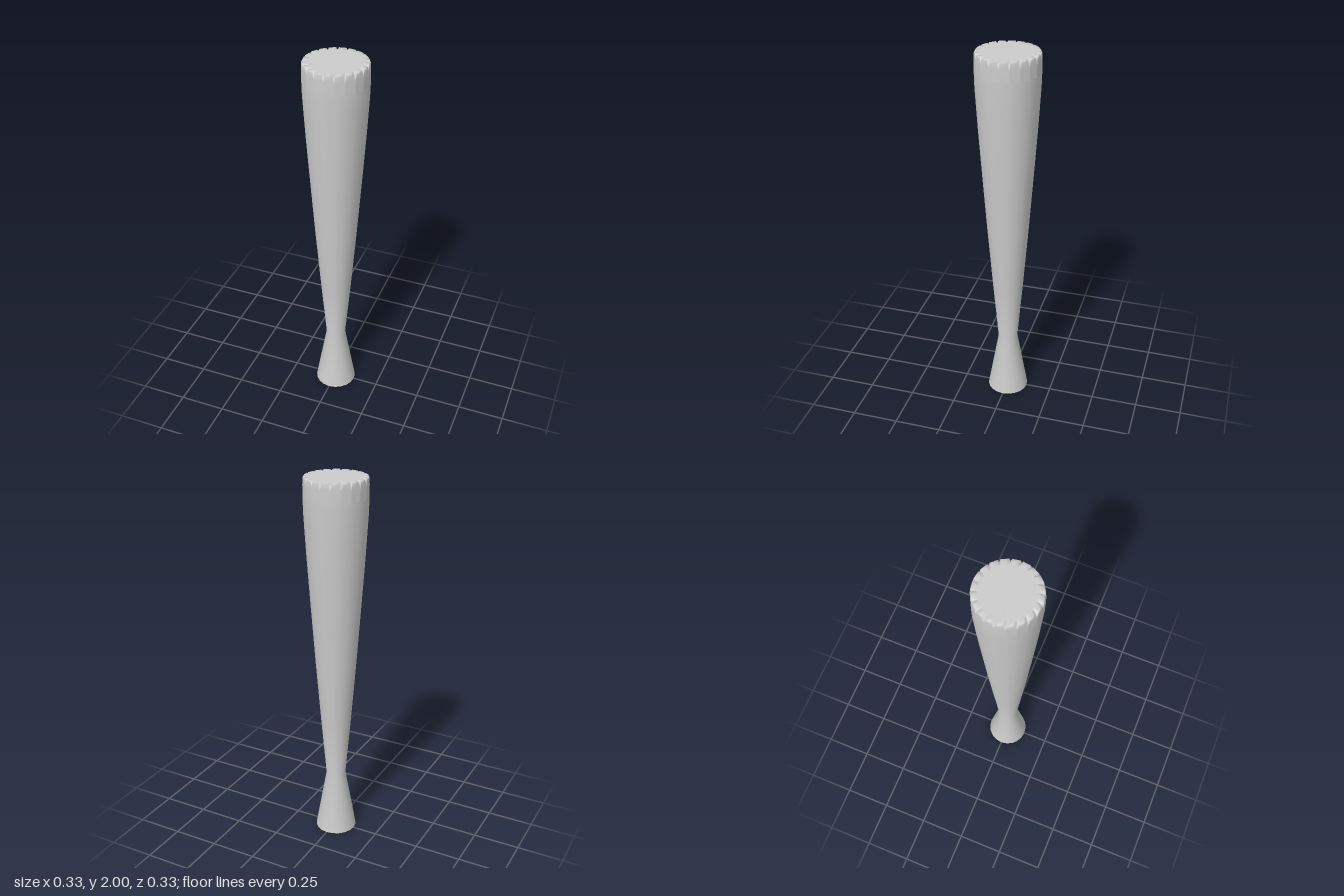
import * as THREE from 'three';

const SIDES = 20;

// Closed band of rows; each row is a function column -> [radius, y]
function ringSurface(angles, rows) {
  const n = angles.length, pos = [], index = [];
  rows.forEach(row => angles.forEach((a, j) => {
    const [r, y] = row(j);
    pos.push(r * Math.sin(a), y, r * Math.cos(a));
  }));
  for (let i = 0; i < rows.length - 1; i++) {
    for (let j = 0; j < n; j++) {
      const k = (j + 1) % n;
      const a = i * n + j, b = i * n + k, c = b + n, d = a + n;
      index.push(a, b, c, a, c, d);
    }
  }
  const g = new THREE.BufferGeometry();
  g.setAttribute('position', new THREE.Float32BufferAttribute(pos, 3));
  g.setIndex(index);
  g.computeVertexNormals();
  return g;
}

export function createModel() {
  const group = new THREE.Group();
  const material = new THREE.MeshStandardMaterial({ color: 0xcccccc });
  const add = (name, geometry) => {
    const mesh = new THREE.Mesh(geometry, material);
    mesh.name = name;
    group.add(mesh);
    return mesh;
  };

  // Flared foot, narrow neck and long tapering body
  const profile = [
    [0.112, 0], [0.053, 0.34], [0.082, 0.68], [0.109, 1.02],
    [0.132, 1.34], [0.15, 1.6], [0.163, 1.82], [0.165, 1.9],
  ].map(([r, y]) => new THREE.Vector2(r, y));
  add('body', new THREE.LatheGeometry(profile, SIDES));

  // Flat underside
  const base = add('base', new THREE.CircleGeometry(0.112, SIDES));
  base.rotation.x = Math.PI / 2;

  // Rim columns: a notch at every corner, with a shoulder on both sides
  const step = (Math.PI * 2) / SIDES, offsets = [0, 0.13, 0.5, 0.87];
  const angles = [];
  for (let i = 0; i < SIDES; i++) offsets.forEach(o => angles.push((i + o) * step));
  // Keeps the intermediate columns on the straight sides of the polygon
  const flat = j => Math.cos(step / 2) / Math.cos((offsets[j % 4] - 0.5) * step);
  const notch = j => j % 4 === 0;

  // Notched rim closing into the flat head
  add('notchedHead', ringSurface(angles, [
    j => [0.165 * flat(j), 1.9],
    j => [0.165 * flat(j), 1.965],
    j => [0.164 * flat(j), notch(j) ? 1.968 : 1.992],
    j => [(notch(j) ? 0.162 : 0.16) * flat(j), notch(j) ? 1.972 : 2],
    j => [0.143 * flat(j), notch(j) ? 1.996 : 2],
    j => [0.13 * flat(j), 2],
    () => [0, 2],
  ]));

  return group;
}
